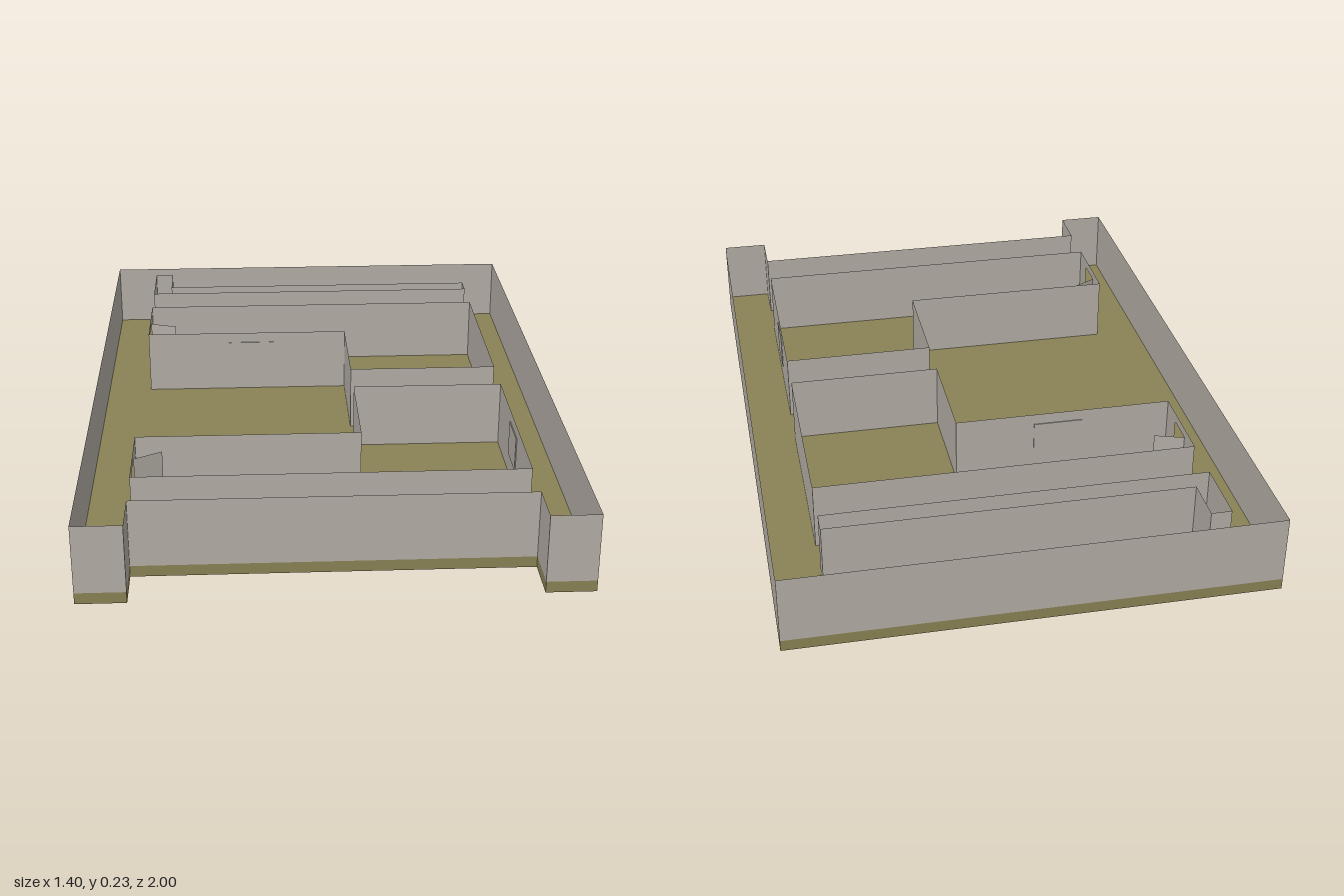
import * as THREE from 'three';

const FLOOR = 0.033, TOP = 0.234, LINTEL = 0.207;

export function createModel() {
  const model = new THREE.Group();
  model.name = 'floorPlan';

  const wallMat = new THREE.MeshStandardMaterial({ color: 0xb3ada5, side: THREE.DoubleSide });
  wallMat.name = 'wallGrey';
  const floorMat = new THREE.MeshStandardMaterial({ color: 0x8a8355 });
  floorMat.name = 'floorOlive';

  // Upright sheet between two plan points [x, z]
  const panel = (name, parent, a, b, y0 = FLOOR, y1 = TOP) => {
    const dx = b[0] - a[0], dz = b[1] - a[1];
    const mesh = new THREE.Mesh(new THREE.PlaneGeometry(Math.hypot(dx, dz), y1 - y0), wallMat);
    mesh.position.set((a[0] + b[0]) / 2, (y0 + y1) / 2, (a[1] + b[1]) / 2);
    mesh.rotation.y = Math.atan2(-dz, dx);
    mesh.name = name;
    parent.add(mesh);
  };

  // Closed ring of walls; an optional doorway [z0, z1] cuts the last side
  const ring = (name, pts, door) => {
    const group = new THREE.Group();
    group.name = name;
    pts.forEach((a, i) => {
      const b = pts[(i + 1) % pts.length];
      if (door && i === pts.length - 1) {
        const p = [a[0], door[0]], q = [a[0], door[1]];
        panel('doorSideWall', group, a, p);
        panel('lintel', group, p, q, LINTEL, TOP);
        panel('doorSideWall', group, q, b);
      } else panel('wall', group, a, b);
    });
    model.add(group);
    return group;
  };

  // Slab with the entrance recess at the front
  const outline = [[-0.7, -1], [0.7, -1], [0.7, 1], [0.56, 1], [0.56, 0.863],
    [-0.56, 0.863], [-0.56, 1], [-0.7, 1]];
  const shape = new THREE.Shape(outline.map(([x, z]) => new THREE.Vector2(x, z)));
  const slabGeo = new THREE.ExtrudeGeometry(shape, { depth: FLOOR, bevelEnabled: false });
  slabGeo.rotateX(Math.PI / 2).translate(0, FLOOR, 0);
  const slab = new THREE.Mesh(slabGeo, floorMat);
  slab.name = 'floorSlab';
  model.add(slab);

  // Outer walls and inner rooms
  ring('outerWalls', outline);
  ring('backCloset', [[-0.56, -0.929], [-0.5, -0.929], [-0.5, -0.797], [0.56, -0.797],
    [0.56, -0.733], [-0.56, -0.733]]);
  const backRoom = ring('backRoom', [[-0.56, -0.596], [0.56, -0.596], [0.56, -0.008],
    [0.1, -0.008], [0.1, -0.337], [-0.56, -0.337]], [-0.415, -0.505]);
  const frontRoom = ring('frontRoom', [[-0.56, 0.723], [0.56, 0.723], [0.56, 0.132],
    [0.1, 0.132], [0.1, 0.465], [-0.56, 0.465]].reverse(), null);

  // Swap the plain left wall of the front room for one with a doorway
  const plain = frontRoom.children.find((m) => Math.abs(m.position.x + 0.56) < 0.001);
  frontRoom.remove(plain);
  panel('doorSideWall', frontRoom, [-0.56, 0.465], [-0.56, 0.555]);
  panel('lintel', frontRoom, [-0.56, 0.555], [-0.56, 0.645], LINTEL, TOP);
  panel('doorSideWall', frontRoom, [-0.56, 0.645], [-0.56, 0.723]);

  // Door leaves standing open
  panel('doorLeaf', backRoom, [-0.56, -0.505], [-0.475, -0.477], FLOOR, LINTEL);
  panel('doorLeaf', frontRoom, [-0.56, 0.555], [-0.48, 0.51], FLOOR, LINTEL);

  // Shallow shutters almost flush with the walls
  const shutter = (name, parent, w, d, x, z) => {
    const mesh = new THREE.Mesh(new THREE.BoxGeometry(w, 0.105, d), wallMat);
    mesh.position.set(x, 0.148, z);
    mesh.name = name;
    parent.add(mesh);
  };
  shutter('backRoomShutter', backRoom, 0.15, 0.006, -0.215, -0.337);
  shutter('frontRoomShutter', frontRoom, 0.006, 0.12, 0.56, 0.4);

  return model;
}
